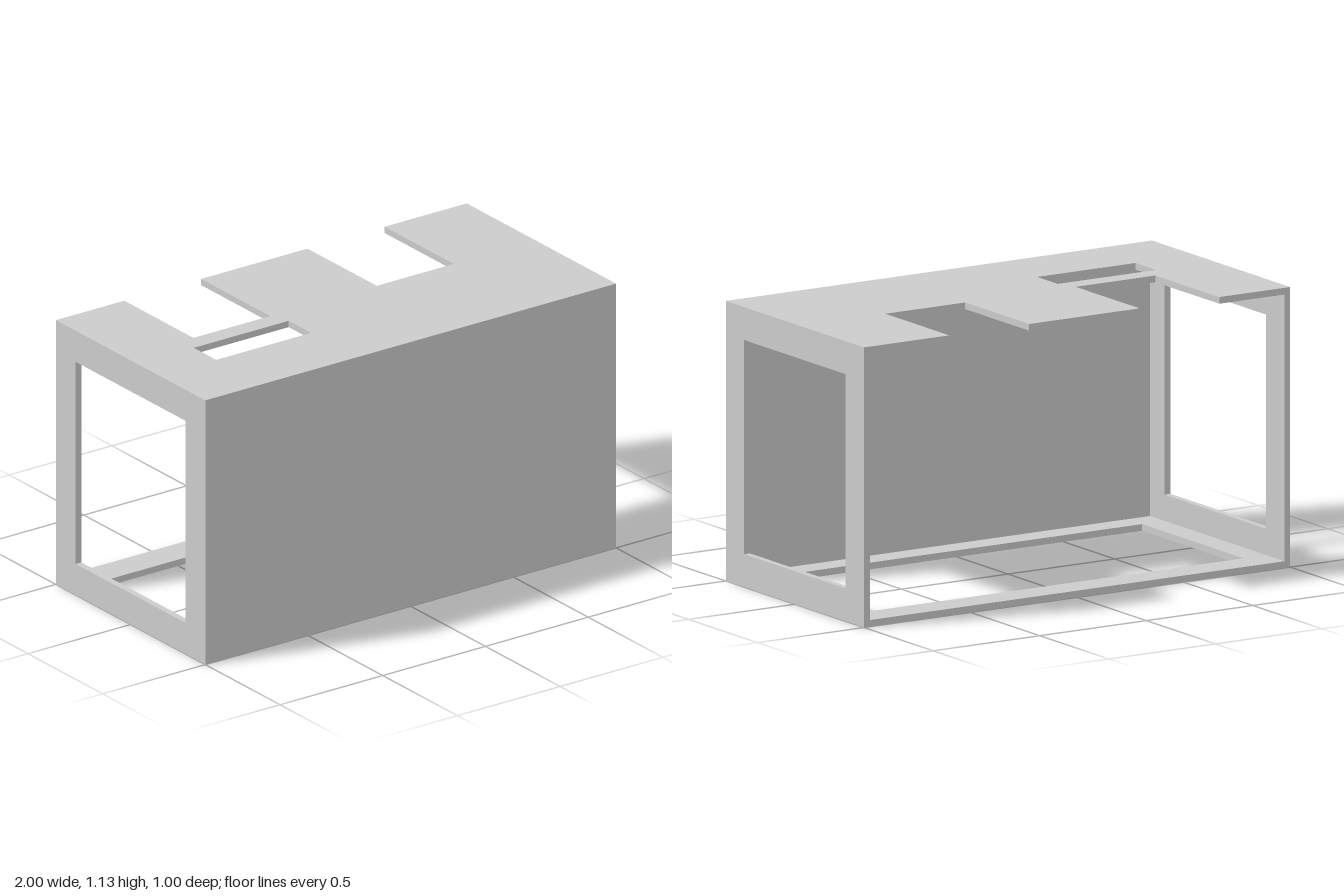
import * as THREE from 'three';

const W = 2, H = 1.13, D = 1, T = 0.027; // overall size and sheet thickness
const RIM = 0.133; // width of the frame around each opening

const rect = (x0, y0, x1, y1) => [[x0, y0], [x1, y0], [x1, y1], [x0, y1]]
  .map(([x, y]) => new THREE.Vector2(x, y));

export function createModel() {
  const model = new THREE.Group();
  const material = new THREE.MeshStandardMaterial({ color: 0xcccccc, flatShading: true });

  const add = (name, geometry, x, y, z) => {
    const mesh = new THREE.Mesh(geometry, material);
    mesh.name = name;
    mesh.position.set(x, y, z);
    model.add(mesh);
  };
  // Sheet cut from an outline, with optional holes
  const sheet = (outline, holes = []) => {
    const shape = new THREE.Shape(outline);
    holes.forEach((h) => shape.holes.push(new THREE.Path(h)));
    return new THREE.ExtrudeGeometry(shape, { depth: T, bevelEnabled: false });
  };

  // Top: two notches open to the back edge and one slot
  const top = [[-W / 2, -D / 2]];
  for (const [x0, x1] of [[-0.667, -0.293], [0.225, 0.6]]) {
    top.push([x0, -D / 2], [x0, -0.037], [x1, -0.037], [x1, -D / 2]);
  }
  top.push([W / 2, -D / 2], [W / 2, D / 2], [-W / 2, D / 2]);
  const slot = rect(-0.725, 0.045, -0.263, 0.195);
  add('topPanel', sheet(top.map(([x, z]) => new THREE.Vector2(x, z)), [slot]).rotateX(Math.PI / 2), 0, H, 0);

  // Bottom: rectangular frame
  const bottom = sheet(rect(-W / 2, -D / 2, W / 2, D / 2),
    [rect(-W / 2 + RIM, -D / 2 + RIM, W / 2 - RIM, D / 2 - RIM)]);
  add('bottomFrame', bottom.rotateX(Math.PI / 2), 0, T, 0);

  // Ends: matching frames standing between top and bottom
  const end = sheet(rect(-D / 2, T, D / 2, H - T),
    [rect(-D / 2 + RIM, RIM, D / 2 - RIM, H - RIM)]).rotateY(-Math.PI / 2);
  add('leftFrame', end, W / 2, 0, 0);
  add('rightFrame', end, -W / 2 + T, 0, 0);

  // Front: solid panel; the back stays open
  add('frontPanel', new THREE.BoxGeometry(W - 2 * T, H - 2 * T, T), 0, H / 2, D / 2 - T / 2);

  return model;
}
